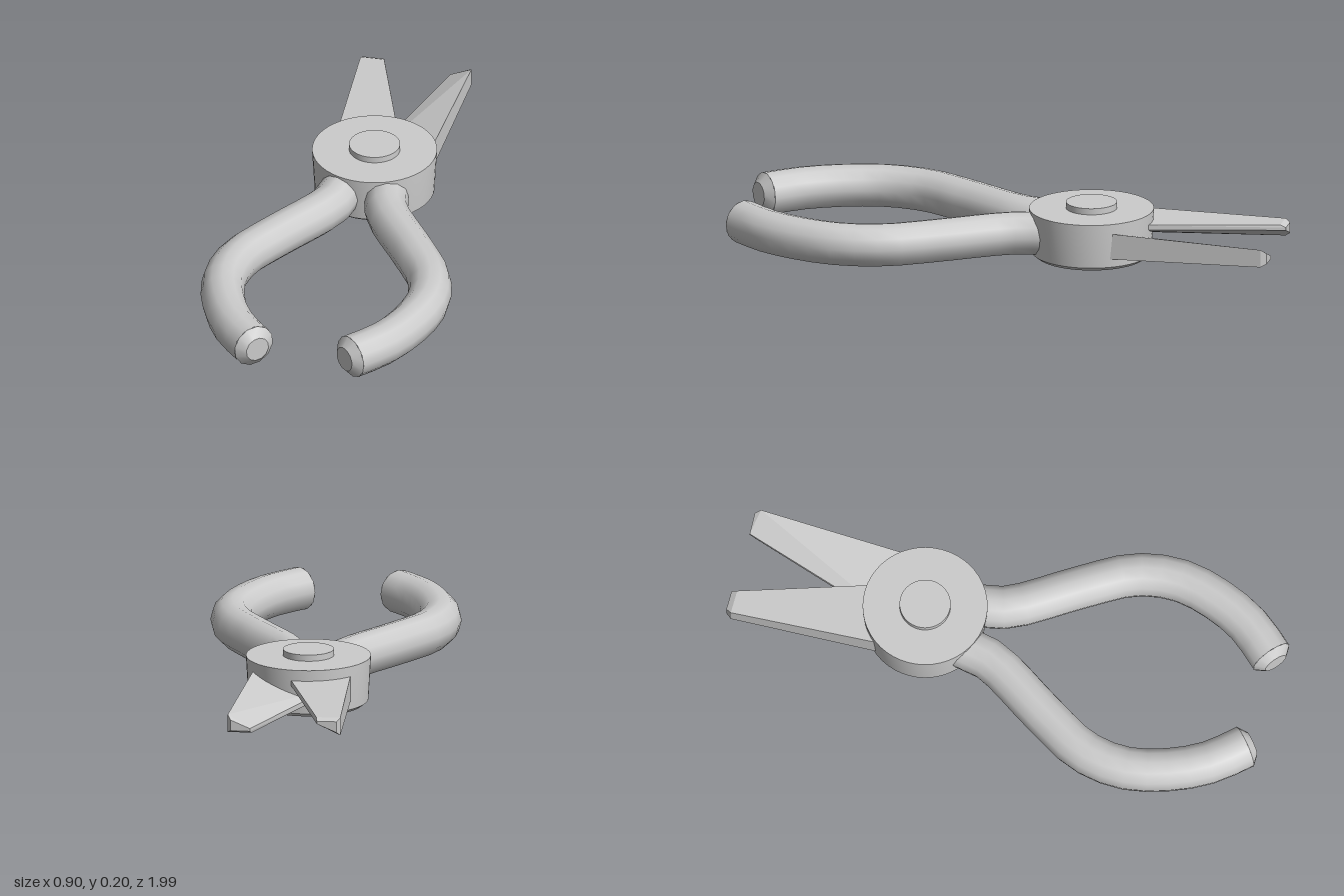
import * as THREE from 'three';
import { toCreasedNormals } from 'three/addons/utils/BufferGeometryUtils.js';
import { ConvexGeometry } from 'three/addons/geometries/ConvexGeometry.js';

const MID_Y = 0.0925; // height of the handles' and jaws' middle plane
const GRIP_R = 0.079;
const PIVOT = new THREE.Vector3(0.003, 0, -0.308);

export function createModel() {
  const group = new THREE.Group();
  const material = new THREE.MeshStandardMaterial({ color: 0xcccccc });
  const add = (name, geometry, parent = group) => {
    const mesh = new THREE.Mesh(geometry, material);
    mesh.name = name;
    parent.add(mesh);
    return mesh;
  };
  const lathe = (profile) => toCreasedNormals(
    new THREE.LatheGeometry(profile.map(([r, y]) => new THREE.Vector2(r, y)), 48), 0.5);

  // Round pivot body with a bevelled underside, and the pin on top
  add('pivotBody', lathe([[0, 0], [0.198, 0], [0.216, 0.014], [0.225, 0.17], [0.225, 0.177], [0, 0.177]]))
    .position.copy(PIVOT);
  add('pivotPin', lathe([[0.092, 0.16], [0.092, 0.2], [0, 0.2]])).position.copy(PIVOT);

  // Handles: bowed round grips with chamfered ends
  for (const side of [1, -1]) {
    const handle = new THREE.Group();
    handle.name = side > 0 ? 'leftHandle' : 'rightHandle';
    const path = new THREE.CatmullRomCurve3([
      [0.06, -0.26], [0.085, -0.13], [0.107, -0.03], [0.255, 0.21], [0.35, 0.38],
      [0.373, 0.54], [0.335, 0.7], [0.27, 0.83], [0.178, 0.937],
    ].map(([x, z]) => new THREE.Vector3(x * side, MID_Y, z)));
    add('grip', new THREE.TubeGeometry(path, 18, GRIP_R, 12), handle);

    const tangent = path.getTangent(1);
    const endGeometry = new THREE.CylinderGeometry(GRIP_R * 0.58, GRIP_R, 0.028, 12);
    const end = add('gripEnd', toCreasedNormals(endGeometry, 0.6), handle);
    end.quaternion.setFromUnitVectors(new THREE.Vector3(0, 1, 0), tangent);
    end.position.copy(path.getPoint(1)).addScaledVector(tangent, 0.014);
    group.add(handle);
  }

  // Jaws: tapering wedges, thin on the inside; one is the other turned half round its length
  // Each section: z, inner x, outer x, bottom y, inner top y, outer top y
  const sections = [
    [-0.35, -0.07, 0.187, 0.043, 0.062, 0.142],
    [-0.98, 0.13, 0.217, 0.06, 0.08, 0.125],
    [-1.0, 0.134, 0.205, 0.07, 0.08, 0.11],
  ];
  for (const turned of [false, true]) {
    const points = sections.flatMap(([z, xi, xo, yb, yi, yo]) =>
      [[xi, yb], [xo, yb], [xo, yo], [xi, yi]].map(([x, y]) => (turned
        ? new THREE.Vector3(0.026 - x, 2 * MID_Y - y, z)
        : new THREE.Vector3(x, y, z))));
    add(turned ? 'rightJaw' : 'leftJaw', new ConvexGeometry(points));
  }
  return group;
}
